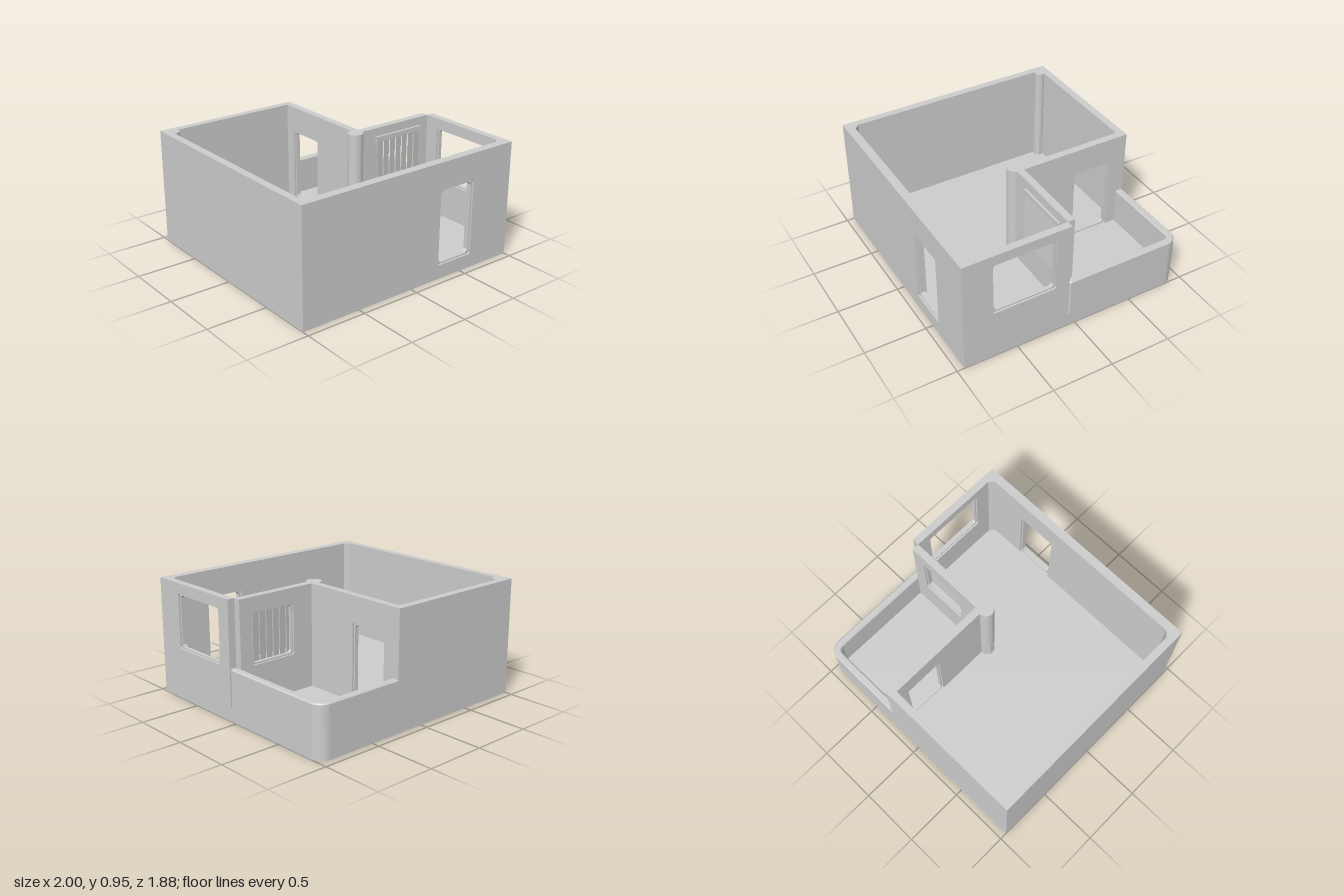
import * as THREE from 'three';
import { toCreasedNormals } from 'three/addons/utils/BufferGeometryUtils.js';

const H = 0.95, FLOOR = 0.115, T = 0.06;

export function createModel() {
  const house = new THREE.Group();
  house.name = 'house';
  const mat = new THREE.MeshStandardMaterial({ color: 0xcccccc });

  const add = (name, geo, x = 0, y = 0, z = 0, ry = 0) => {
    const m = new THREE.Mesh(geo, mat);
    m.name = name;
    m.position.set(x, y, z);
    m.rotation.y = ry;
    house.add(m);
    return m;
  };

  // Rectangle with cut corners, as a closed list of points
  const rect = (u0, u1, y0, y1, c = 0) => {
    const p = c
      ? [[u0 + c, y0], [u1 - c, y0], [u1, y0 + c], [u1, y1 - c], [u1 - c, y1], [u0 + c, y1], [u0, y1 - c], [u0, y0 + c]]
      : [[u0, y0], [u1, y0], [u1, y1], [u0, y1]];
    return p.map(([a, b]) => new THREE.Vector2(a, b));
  };

  // Wall along x (or along z when side is true) with an optional framed opening [u0, u1, y0, y1]
  const wall = (name, u0, u1, at, { side = false, t = T, hole, corner = 0.02 } = {}) => {
    const place = (n, shape, depth, inset) => {
      const geo = new THREE.ExtrudeGeometry(shape, { depth, bevelEnabled: false });
      if (side) add(n, geo, at - inset, 0, 0, -Math.PI / 2);
      else add(n, geo, 0, 0, at + inset);
    };
    const shape = new THREE.Shape(rect(u0, u1, 0.02, H));
    if (hole) {
      shape.holes.push(new THREE.Path(rect(...hole, 0.01)));
      const [a, b, c, d] = hole;
      const frame = new THREE.Shape(rect(a, b, c, d));
      frame.holes.push(new THREE.Path(rect(a + 0.012, b - 0.012, c + 0.012, d - 0.012, corner)));
      place(name + 'Frame', frame, t - 0.03, 0.015);
    }
    place(name, shape, t, 0);
  };

  // Solid with a floor-plan outline in (x, -z), raised from y0 to y1
  const plan = (name, shape, y0, y1, bevel = 0) => {
    const geo = new THREE.ExtrudeGeometry(shape, {
      depth: y1 - y0 - 2 * bevel, curveSegments: 14, bevelEnabled: bevel > 0,
      bevelThickness: bevel, bevelSize: bevel, bevelOffset: -bevel, bevelSegments: 1,
    });
    geo.rotateX(-Math.PI / 2);
    return add(name, toCreasedNormals(geo, 0.5), 0, y0 + bevel, 0);
  };

  // Floor slab with one rounded terrace corner
  const slab = new THREE.Shape();
  slab.moveTo(-1, -0.94).lineTo(1, -0.94).lineTo(1, 0.84);
  slab.absarc(0.9, 0.84, 0.1, 0, Math.PI / 2, false);
  slab.lineTo(-1, 0.94);
  plan('floorSlab', slab, 0, FLOOR);

  // Walls of the L-shaped room
  wall('frontWall', -1, 1, 0.87, { t: 0.07, hole: [0.27, 0.605, 0.115, 0.73], corner: 0.025 });
  wall('backWall', -1, 0.25, -0.94);
  wall('terraceWindowWall', 0.25, 0.94, 0, { hole: [0.43, 0.83, 0.42, 0.83] });
  wall('sideWall', -0.94, 0.94, -0.94, { side: true });
  wall('windowWall', 0.06, 0.94, 1, { side: true, hole: [0.18, 0.7, 0.42, 0.865] });
  wall('terraceDoorWall', -0.94, 0.06, 0.25, { side: true, hole: [-0.79, -0.46, 0.115, 0.735] });

  // Chamfer strips in the inner front corners
  for (const s of [-1, 1]) {
    const c = new THREE.Shape([[0.95, -0.88], [0.95, -0.83], [0.94, -0.83], [0.9, -0.87], [0.9, -0.88]]
      .map(([x, y]) => new THREE.Vector2(s * x, y)));
    plan('cornerStrip', c, FLOOR, H);
  }

  // Terrace parapet with bevelled top and rounded corner
  const rail = new THREE.Shape();
  rail.moveTo(0.23, 0.94).lineTo(0.23, 0.88).lineTo(0.89, 0.88);
  rail.absarc(0.89, 0.83, 0.05, Math.PI / 2, 0, true);
  rail.lineTo(0.94, -0.06).lineTo(0.985, -0.06).lineTo(1, -0.045).lineTo(1, 0.84);
  rail.absarc(0.9, 0.84, 0.1, 0, Math.PI / 2, false);
  plan('terraceParapet', rail, 0.09, 0.42, 0.01);

  // Columns: round shaft on a faceted base
  const column = (x, z, r) => {
    const split = 0.29;
    add('columnShaft', new THREE.CylinderGeometry(r, r, H - split, 20), x, (H + split) / 2, z);
    const base = new THREE.CylinderGeometry(r * 1.06, r * 1.06, split - FLOOR, 8).toNonIndexed();
    base.computeVertexNormals();
    add('columnBase', base, x, (split + FLOOR) / 2, z, Math.PI / 8);
  };
  column(-0.92, -0.86, 0.045);
  column(0.185, 0.045, 0.063);

  // Vertical blind hanging inside the terrace window
  add('blindRail', new THREE.BoxGeometry(0.47, 0.04, 0.022), 0.615, 0.86, 0.07);
  for (let i = 0; i < 7; i++) {
    add('blindSlat', new THREE.BoxGeometry(0.066, 0.46, 0.004), 0.422 + i * 0.0645, 0.61, 0.071, 0.2);
  }
  return house;
}
